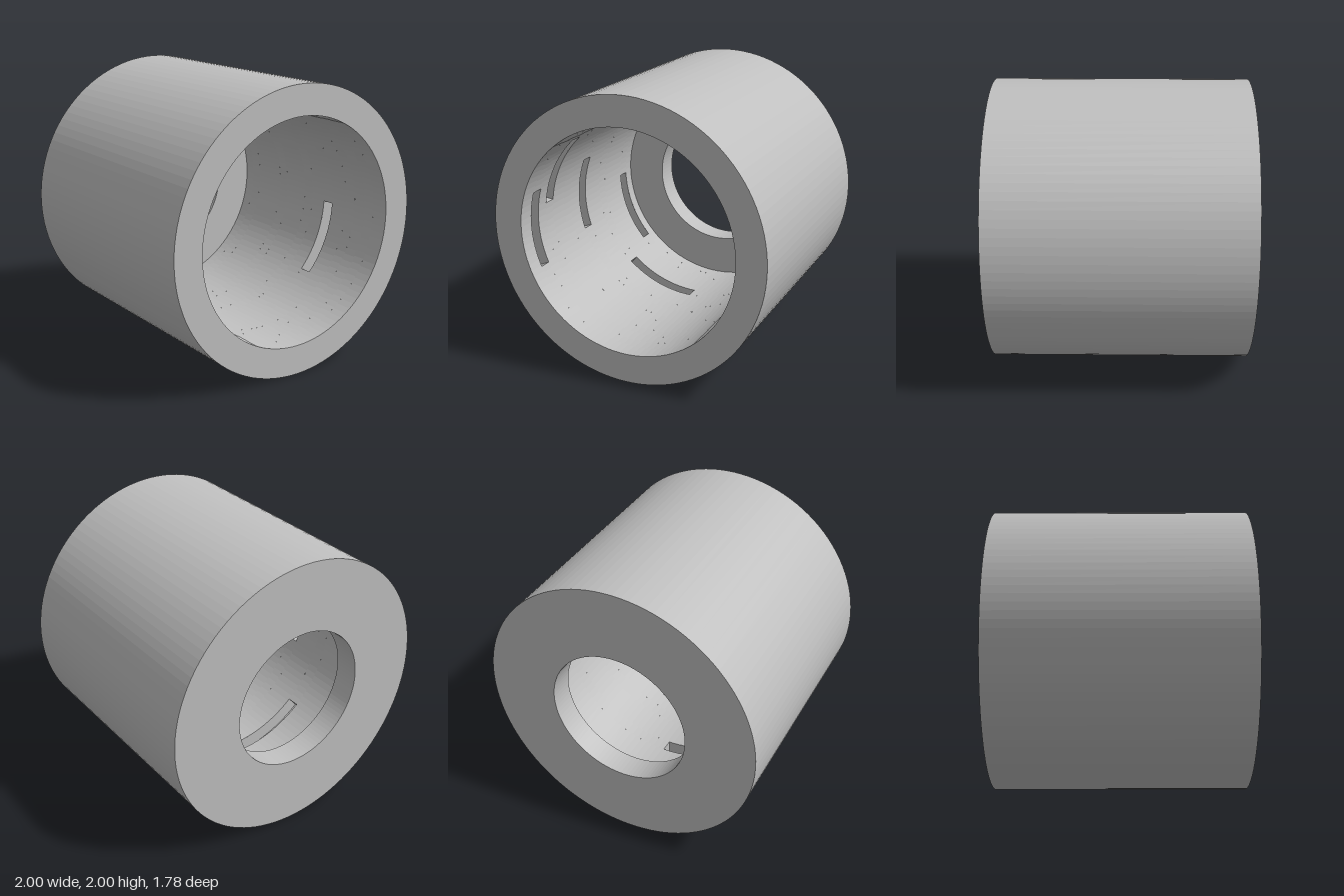
import * as THREE from 'three';

const OUTER = 1, BORE = 0.79, HOLE = 0.5, HALF = 0.89, FLOOR = -0.71;
const SLOT_DEPTH = 0.1, SLOT_WIDTH = 0.09, SLOT_ARC = 40, SEGMENTS = 108;
const rad = THREE.MathUtils.degToRad;

// Slots in the bore wall, front to back: [centre z, start angle from +x in degrees]
const SLOTS = [[0.72, 164], [0.53, 134], [0.29, -43], [0.07, 159], [-0.23, 229], [-0.58, 182]];

export function createModel() {
  const group = new THREE.Group();
  const grey = new THREE.MeshStandardMaterial({ color: 0xbfbfbf, side: THREE.DoubleSide });
  grey.name = 'plain grey';

  const add = (geometry, name) => {
    const mesh = new THREE.Mesh(geometry, grey);
    mesh.name = name;
    group.add(mesh);
    return mesh;
  };

  // Revolve an [r, z] profile about the z axis, with faceted normals
  const revolve = (profile, name, start = 0, arc = 360) => {
    const points = profile.map(([r, z]) => new THREE.Vector2(r, z));
    const steps = Math.round(SEGMENTS * arc / 360);
    const geometry = new THREE.LatheGeometry(points, steps, rad(start + 90), rad(arc))
      .rotateX(Math.PI / 2).toNonIndexed();
    geometry.computeVertexNormals();
    return add(geometry, name);
  };

  // Outer shell with both end faces
  revolve([[HOLE, -HALF], [OUTER, -HALF], [OUTER, HALF], [BORE, HALF]], 'outerShell');

  // Back wall of the bore and the smaller through hole
  revolve([[BORE, FLOOR], [HOLE, FLOOR], [HOLE, -HALF]], 'backHole');

  // Bore wall, interrupted by curved slots
  let z = HALF;
  for (const [centre, start] of SLOTS) {
    const front = centre + SLOT_WIDTH / 2, back = centre - SLOT_WIDTH / 2;
    const deep = BORE + SLOT_DEPTH;
    revolve([[BORE, z], [BORE, front]], 'boreWall');
    revolve([[BORE, front], [BORE, back]], 'boreWallBesideSlot', start + SLOT_ARC, 360 - SLOT_ARC);
    revolve([[BORE, front], [deep, front], [deep, back], [BORE, back]], 'slot', start, SLOT_ARC);

    // Flat ends of the slot
    for (const [angle, turn] of [[start, -1], [start + SLOT_ARC, 1]]) {
      const end = new THREE.PlaneGeometry(SLOT_DEPTH, SLOT_WIDTH)
        .rotateX(turn * Math.PI / 2)
        .translate(BORE + SLOT_DEPTH / 2, 0, centre)
        .rotateZ(rad(angle));
      add(end, 'slotEnd');
    }
    z = back;
  }
  revolve([[BORE, z], [BORE, FLOOR]], 'boreWall');

  group.position.y = OUTER;
  return group;
}
